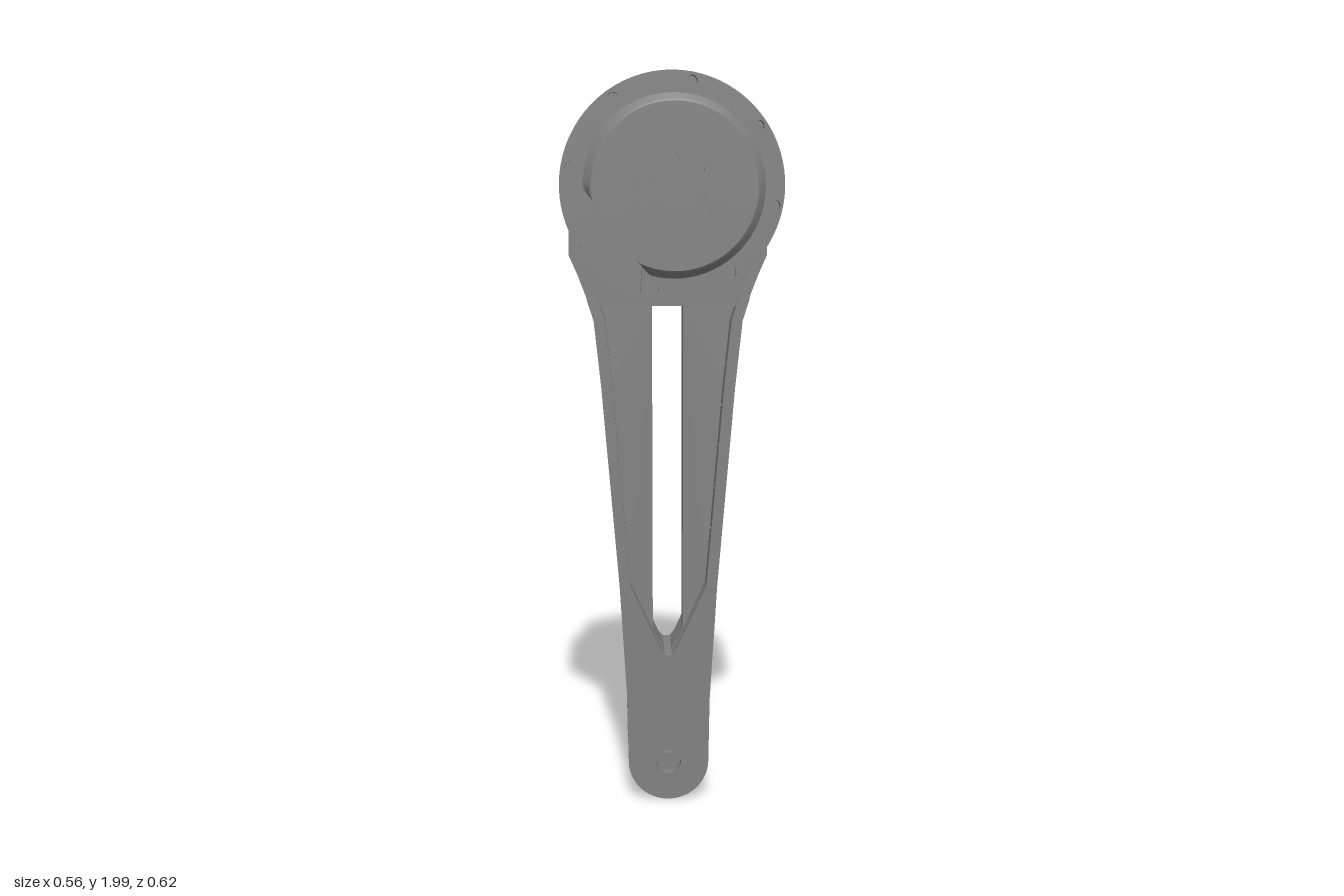
import * as THREE from 'three';
import { toCreasedNormals } from 'three/addons/utils/BufferGeometryUtils.js';

const material = new THREE.MeshStandardMaterial({ color: 0x808080 });
const AXIS_Y = 1.72; // height of the motor axis

function addMesh(parent, name, geometry) {
  const mesh = new THREE.Mesh(toCreasedNormals(geometry, 0.5), material);
  mesh.name = name;
  parent.add(mesh);
}

// Move every vertex by a rule
function warp(geometry, rule) {
  const p = geometry.attributes.position;
  const v = new THREE.Vector3();
  for (let i = 0; i < p.count; i++) {
    rule(v.fromBufferAttribute(p, i));
    p.setXYZ(i, v.x, v.y, v.z);
  }
  geometry.computeVertexNormals();
  return geometry;
}

function polygon(points) {
  return new THREE.Shape(points.map(([x, y]) => new THREE.Vector2(x, y)));
}

// Close a right-hand edge (listed upwards) with its mirror image
function mirrored(points) {
  return [...points, ...points.slice().reverse().map(([x, y]) => [-x, y])];
}

function addHole(shape, x, y, r) {
  shape.holes.push(new THREE.Path().absarc(x, y, r, 0, Math.PI * 2, true));
}

function boltCircle(shape, count, radius, holeRadius, startDeg = 0, cy = 0) {
  for (let i = 0; i < count; i++) {
    const a = THREE.MathUtils.degToRad(startDeg) + (i / count) * Math.PI * 2;
    addHole(shape, radius * Math.cos(a), cy + radius * Math.sin(a), holeRadius);
  }
}

function arc(radius, fromDeg, toDeg, n, cy = 0) {
  return Array.from({ length: n + 1 }, (_, i) => {
    const a = THREE.MathUtils.degToRad(fromDeg + ((toDeg - fromDeg) * i) / n);
    return [radius * Math.cos(a), cy + radius * Math.sin(a)];
  });
}

// Extrude a shape between two z values
function slab(shape, z0, z1) {
  return new THREE.ExtrudeGeometry(shape, { depth: z1 - z0, bevelEnabled: false, curveSegments: 16 })
    .translate(0, 0, z0);
}

// Lathe around z from [radius, z] pairs, z increasing along the outside
function turned(profile) {
  return new THREE.LatheGeometry(profile.map(([r, z]) => new THREE.Vector2(r, z)), 72).rotateX(Math.PI / 2);
}

// Half width of the leg at height y
const WIDTHS = [[0.12, 0.112], [0.3, 0.115], [0.63, 0.135], [1.0, 0.166], [1.18, 0.181], [1.36, 0.2], [1.43, 0.222]];
function halfWidth(y) {
  const i = Math.max(1, WIDTHS.findIndex(([top]) => y <= top));
  const [y0, w0] = WIDTHS[i - 1], [y1, w1] = WIDTHS[i];
  return w0 + ((w1 - w0) * (y - y0)) / (y1 - y0);
}

// The leg leans slightly forward towards its foot
const lean = (v) => { v.z += (1.4 - v.y) * 0.0145; };

function buildLeg() {
  const leg = new THREE.Group();
  leg.name = 'leg';
  const notch = [[0.106, 0.63], [0.024, 0.45], [0.01, 0.432], [-0.01, 0.432], [-0.024, 0.45], [-0.106, 0.63]];

  // Fork prongs with rounded feet and pin holes
  for (const [name, z0, z1] of [['frontProng', -0.143, -0.115], ['rearProng', -0.3, -0.27]]) {
    const edge = [0.2, 0.3, 0.63].map((y) => [halfWidth(y), y]);
    const shape = polygon([
      ...arc(0.112, 180, 360, 24, 0.122),
      ...edge,
      ...notch,
      ...edge.slice().reverse().map(([x, y]) => [-x, y]),
    ]);
    addHole(shape, 0, 0.12, 0.035);
    addMesh(leg, name, warp(slab(shape, z0, z1), lean));
  }

  // Solid crotch that joins the prongs, stepping in at the side recesses
  const crotch = polygon([
    [-0.117, 0.41], [0.117, 0.41], [0.123, 0.51], [0.112, 0.53], [0.12, 0.63],
    ...notch,
    [-0.12, 0.63], [-0.112, 0.53], [-0.123, 0.51],
  ]);
  addMesh(leg, 'crotch', warp(slab(crotch, -0.275, -0.14), lean));

  // Central web with a long slot
  const web = polygon(mirrored([0.42, 0.63, 1.0, 1.18, 1.36, 1.42].map((y) => [halfWidth(y) - 0.022, y])));
  web.holes.push(polygon([[0.01, 0.433], [-0.01, 0.433], [-0.042, 0.49], [-0.042, 1.4], [0.042, 1.4], [0.042, 0.49]]));
  addMesh(leg, 'centralWeb', warp(slab(web, -0.245, -0.17), lean));

  // Side rails: drilled front and rear flanges with a recessed wall between
  const breaks = [0.63, 1.0, 1.18, 1.36, 1.42];
  for (const side of [-1, 1]) {
    for (const [name, z0, z1, thick, deep, holeZ] of [
      ['frontFlange', -0.157, -0.115, 0.03, 0, -0.141],
      ['rearFlange', -0.3, -0.255, 0.03, 0, -0.272],
      ['railWall', -0.256, -0.156, 0.017, 0.013, null],
    ]) {
      for (let s = 1; s < breaks.length; s++) {
        const y0 = breaks[s - 1], y1 = breaks[s];
        const strip = polygon([[-z1, y0], [-z0, y0], [-z0, y1], [-z1, y1]]);
        for (let i = 0; i < 5; i++) {
          const y = 0.79 + i * 0.114;
          if (holeZ !== null && y > y0 && y < y1) addHole(strip, -holeZ, y, 0.007);
        }
        const geometry = slab(strip, 0, thick).rotateY(Math.PI / 2);
        addMesh(leg, name, warp(geometry, (v) => {
          const w = halfWidth(v.y) - deep;
          v.x += side > 0 ? w - thick : -w;
          lean(v);
        }));
      }
    }
  }
  return leg;
}

function buildHead() {
  const head = new THREE.Group();
  head.name = 'legHead';

  // Rear bearing ring merged with the shoulders of the leg
  const outline = polygon(mirrored([
    [halfWidth(1.4), 1.4], [0.222, 1.43], [0.243, 1.485], [0.265, 1.535], [0.265, 1.62], [0.214, 1.622],
    ...arc(0.237, -24, 89, 32, AXIS_Y),
  ]));
  addHole(outline, 0, AXIS_Y, 0.152);
  boltCircle(outline, 6, 0.198, 0.008, 30, AXIS_Y);
  for (const s of [-1, 1]) {
    addHole(outline, s * 0.09, 1.48, 0.009);
    addHole(outline, s * 0.17, 1.49, 0.009);
  }
  addMesh(head, 'bearingHousing', slab(outline, -0.308, -0.128));

  // Raised collar pads in front of the ring
  for (const [a, b] of [[-22, 59], [66, 114], [123, 202]]) {
    const pad = polygon([...arc(0.257, a, b, 20, AXIS_Y), ...arc(0.22, b, a, 20, AXIS_Y)]);
    addMesh(head, 'collarPad', slab(pad, -0.186, -0.125));
  }
  return head;
}

function buildMotor() {
  const motor = new THREE.Group();
  motor.name = 'motor';
  motor.position.y = AXIS_Y;

  // Main drum and rear flange
  addMesh(motor, 'drum', turned([
    [0, -0.127], [0.28, -0.127], [0.28, -0.1], [0.277, -0.098], [0.281, -0.096], [0.281, 0.13], [0, 0.13],
  ]));

  // Front flange, notched on one side, with bolt holes
  const flange = polygon([
    ...arc(0.278, -107, 180, 84),
    [-0.2, 0], [-0.2, -0.03], [-0.075, -0.195],
  ]);
  boltCircle(flange, 8, 0.258, 0.013, -10.5);
  addMesh(motor, 'frontFlange', slab(flange, 0.128, 0.163));

  // Stepped cover, trimmed flat beside the notch
  const cover = turned([
    [0, 0.12], [0.221, 0.12], [0.221, 0.254], [0.205, 0.27], [0.205, 0.296], [0.2, 0.3], [0, 0.3],
  ]);
  addMesh(motor, 'cover', warp(cover, (v) => {
    const excess = Math.max(0, -0.797 * v.x - 0.604 * v.y - 0.178);
    v.x += 0.797 * excess;
    v.y += 0.604 * excess;
  }));

  // Output hub with six screw holes
  const hub = new THREE.Shape().absarc(0, 0, 0.102, 0, Math.PI * 2);
  boltCircle(hub, 6, 0.067, 0.015, 35);
  addMesh(motor, 'outputHub', slab(hub, 0.295, 0.31));

  // Rear boss seen through the bearing ring
  addMesh(motor, 'rearBoss', turned([
    [0, -0.14], [0.045, -0.14], [0.05, -0.165], [0.08, -0.165], [0.088, -0.15], [0.12, -0.14], [0.125, -0.12],
  ]));
  for (let i = 0; i < 6; i++) {
    const a = (i * Math.PI) / 3;
    const screw = new THREE.CylinderGeometry(0.011, 0.011, 0.014, 12).rotateX(Math.PI / 2)
      .translate(0.066 * Math.cos(a), 0.066 * Math.sin(a), -0.168);
    addMesh(motor, 'rearScrew', screw);
  }
  return motor;
}

export function createModel() {
  const model = new THREE.Group();
  model.name = 'actuatedLeg';
  model.add(buildLeg(), buildHead(), buildMotor());
  return model;
}
